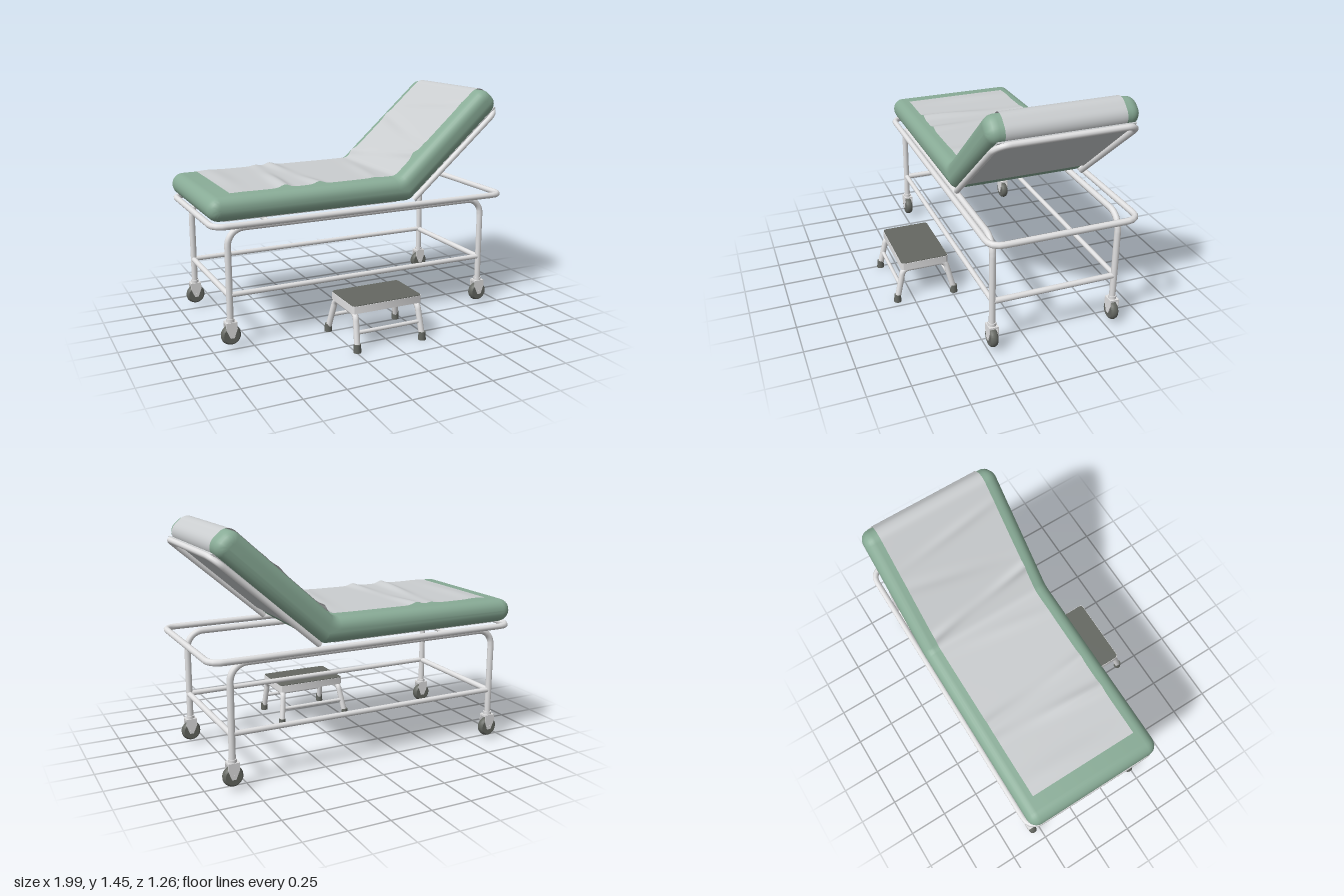
import * as THREE from 'three';
import { toCreasedNormals } from 'three/addons/utils/BufferGeometryUtils.js';

const V = (x, y, z = 0) => new THREE.Vector3(x, y, z);
const ZC = -0.1625; // centre line of the bed

const paint = (name, color, extra = {}) => {
  const m = new THREE.MeshStandardMaterial({ color, ...extra });
  m.name = name;
  return m;
};

// Replace each corner of a polyline with a true arc
function roundCorners(pts, r, closed = false) {
  const out = [], n = pts.length;
  pts.forEach((p, i) => {
    if (!closed && (i === 0 || i === n - 1)) return out.push(p);
    const u = pts[(i + n - 1) % n].clone().sub(p).normalize();
    const v = pts[(i + 1) % n].clone().sub(p).normalize();
    const half = u.angleTo(v) / 2;
    const c = p.clone().addScaledVector(u.clone().add(v).normalize(), r / Math.sin(half));
    const a = p.clone().addScaledVector(u, r / Math.tan(half)).sub(c);
    const b = p.clone().addScaledVector(v, r / Math.tan(half)).sub(c);
    const sweep = a.angleTo(b), steps = 8;
    for (let k = 0; k <= steps; k++) {
      const t = k / steps;
      out.push(c.clone()
        .addScaledVector(a, Math.sin((1 - t) * sweep) / Math.sin(sweep))
        .addScaledVector(b, Math.sin(t * sweep) / Math.sin(sweep)));
    }
  });
  return out;
}

function polyCurve(pts, closed = false) {
  const path = new THREE.CurvePath();
  for (let i = 0; i < pts.length - (closed ? 0 : 1); i++) {
    path.add(new THREE.LineCurve3(pts[i], pts[(i + 1) % pts.length]));
  }
  return path;
}

export function createModel() {
  const model = new THREE.Group();
  const green = paint('green vinyl', 0x89ac97);
  const cloth = paint('grey sheet', 0xcbced0, { side: THREE.DoubleSide });
  const metal = paint('painted steel', 0xe2e2e3);
  const dark = paint('dark rubber', 0x656862);

  const add = (name, geo, mat, parent = model) => {
    const m = new THREE.Mesh(geo, mat);
    m.name = name;
    parent.add(m);
    return m;
  };
  const tube = (name, pts, bend, r, closed = false, parent = model) =>
    add(name, new THREE.TubeGeometry(polyCurve(roundCorners(pts, bend, closed), closed), 180, r, 10, closed), metal, parent);
  const rod = (name, a, b, r, parent = model) => {
    const m = add(name, new THREE.CylinderGeometry(r, r, a.distanceTo(b), 12), metal, parent);
    m.position.copy(a).add(b).multiplyScalar(0.5);
    m.quaternion.setFromUnitVectors(V(0, 1, 0), b.clone().sub(a).normalize());
  };

  // Backrest directions: along the slope, and out of its underside
  const along = V(0.75, 0.661), under = V(0.661, -0.75), hinge = V(0.3, 0.775);
  const onBack = (s, off, z = 0) =>
    hinge.clone().addScaledVector(along, s).addScaledVector(under, off).add(V(0, 0, z));

  // Mattress: side profile extruded across with rounded edges
  const bevel = 0.064, width = 0.885;
  const profile = [V(-1, 0.775), hinge, onBack(0.87, 0), onBack(0.85, -0.168), V(0.224, 0.923), V(-1, 0.916)];
  const shape = new THREE.Shape(roundCorners(profile, 0.07, true).map(p => new THREE.Vector2(p.x, p.y)));
  const mattress = new THREE.ExtrudeGeometry(shape, {
    depth: width - 2 * bevel, bevelThickness: bevel, bevelSize: bevel, bevelOffset: -bevel, bevelSegments: 6,
  });
  mattress.translate(0, 0, ZC - width / 2 + bevel);
  add('mattress', toCreasedNormals(mattress, 0.7), green);

  // Sheet: a creased ribbon over the top and around the head end
  const sheetPath = polyCurve(roundCorners(
    [V(-0.85, 0.925), V(0.222, 0.931), onBack(0.855, -0.175), onBack(0.875, 0.005), onBack(0.8, 0.005)], 0.07));
  const nu = 150, nv = 24;
  const sheet = new THREE.PlaneGeometry(1, 1, nu, nv);
  const pos = sheet.attributes.position;
  // Each crease: distance along the sheet, height, width, slant
  const creases = [[0.08, 0.008, 0.06, 0], [0.37, 0.02, 0.035, 0.06], [0.53, 0.018, 0.035, -0.06], [0.98, 0.007, 0.04, 0.1],
    [1.2, 0.016, 0.03, -0.12], [1.42, 0.01, 0.035, 0.16], [1.66, 0.007, 0.03, -0.1]];
  const total = sheetPath.getLength();
  for (let i = 0; i <= nu; i++) {
    const u = i / nu, p = sheetPath.getPointAt(u), t = sheetPath.getTangentAt(u);
    for (let j = 0; j <= nv; j++) {
      const v = j / nv - 0.5;
      let h = 0;
      for (const [at, amp, w, skew] of creases) {
        const d = (u * total - at - skew * v) / w;
        h += amp * Math.exp(-d * d) * (0.6 + 0.4 * Math.sin(5 * v + at * 9));
      }
      pos.setXYZ(j * (nu + 1) + i, p.x - t.y * h, p.y + t.x * h, 0.19 - 0.7 * j / nv);
    }
  }
  sheet.computeVertexNormals();
  add('sheet', sheet, cloth);

  // Cloth panels beneath the flat part and behind the backrest
  add('seatUnderside', new THREE.BoxGeometry(1.12, 0.008, 0.76), cloth).position.set(-0.34, 0.773, ZC);
  const backPanel = add('backrestUnderside', new THREE.BoxGeometry(0.73, 0.009, 0.8), cloth);
  backPanel.position.copy(onBack(0.47, 0.003, ZC));
  backPanel.rotation.z = Math.atan2(along.y, along.x);

  // Backrest hoop
  const za = 0.247, zb = -0.577;
  tube('backrestHoop', [onBack(0.02, 0.015, za), onBack(0.832, 0.022, za), onBack(0.832, 0.022, zb), onBack(0.02, 0.015, zb)], 0.075, 0.018);

  // Top frame
  tube('topFrame', [V(-0.98, 0.757, 0.285), V(0.975, 0.757, 0.285), V(0.975, 0.757, -0.61), V(-0.98, 0.757, -0.61)], 0.075, 0.019, true);

  // Leg arches, lower rails and cross bars
  const xl = -0.884, xr = 0.849, zf = 0.224, zr = -0.551;
  for (const z of [zf, zr]) {
    tube('legArch', [V(xl, 0.17, z), V(xl, 0.727, z), V(xr, 0.727, z), V(xr, 0.17, z)], 0.1, 0.0195);
    rod('lowerRail', V(xl, 0.33, z), V(xr, 0.33, z), 0.016);
  }
  for (const x of [xl, xr]) rod('lowerCrossBar', V(x, 0.326, zf), V(x, 0.326, zr), 0.018);
  rod('upperCrossBar', V(-0.6, 0.718, zf), V(-0.6, 0.718, zr), 0.013);

  // Casters
  const tyreProfile = [[0.012, -0.023], [0.048, -0.023], [0.057, -0.015], [0.061, 0], [0.057, 0.015], [0.048, 0.023], [0.012, 0.023]]
    .map(([r, y]) => new THREE.Vector2(r, y));
  const forkShape = new THREE.Shape([[-0.034, 0.165], [-0.034, 0.125], [-0.01, 0.07], [0.014, 0.07], [0.034, 0.125], [0.034, 0.165]]
    .map(([x, y]) => new THREE.Vector2(x, y)));
  for (const x of [xl, xr]) for (const z of [zf, zr]) {
    const caster = new THREE.Group();
    caster.name = 'caster';
    caster.position.set(x, 0, z);
    model.add(caster);
    const tyre = add('wheel', toCreasedNormals(new THREE.LatheGeometry(tyreProfile, 24), 0.6), dark, caster);
    tyre.rotation.x = Math.PI / 2;
    tyre.position.y = 0.084;
    rod('axle', V(0, 0.084, -0.03), V(0, 0.084, 0.03), 0.013, caster);
    for (const s of [-1, 1]) {
      const fork = add('fork', new THREE.ExtrudeGeometry(forkShape, { depth: 0.005, bevelEnabled: false }), metal, caster);
      fork.position.z = s * 0.0265 - 0.0025;
    }
    add('forkCrown', new THREE.BoxGeometry(0.068, 0.012, 0.058), metal, caster).position.y = 0.161;
    rod('stem', V(0, 0.16, 0), V(0, 0.185, 0), 0.025, caster);
  }

  // Step stool
  const stool = new THREE.Group();
  stool.name = 'stepStool';
  stool.position.set(-0.025, 0, 0.42);
  model.add(stool);
  const rect = (w, d, r) => roundCorners([V(-w, -d), V(w, -d), V(w, d), V(-w, d)], r, true)
    .map(p => new THREE.Vector2(p.x, p.y));
  const rim = new THREE.Shape(rect(0.231, 0.153, 0.02));
  rim.holes.push(new THREE.Path(rect(0.215, 0.137, 0.012).reverse()));
  const rimGeo = new THREE.ExtrudeGeometry(rim, { depth: 0.045, bevelEnabled: false });
  rimGeo.rotateX(-Math.PI / 2).translate(0, 0.224, 0);
  add('platformRim', toCreasedNormals(rimGeo, 0.6), metal, stool);
  const treadGeo = new THREE.ExtrudeGeometry(new THREE.Shape(rect(0.228, 0.15, 0.02)), { depth: 0.008, bevelEnabled: false });
  treadGeo.rotateX(-Math.PI / 2).translate(0, 0.265, 0);
  add('tread', treadGeo, dark, stool);
  const footX = { 1: 0.218, '-1': 0.237 }; // front feet stand closer together
  for (const s of [-1, 1]) {
    tube('stoolLegs', [V(s * footX[1], 0.02, 0.184), V(s * 0.207, 0.22, 0.138), V(s * 0.207, 0.22, -0.138), V(s * footX[-1], 0.02, -0.184)],
      0.045, 0.0185, false, stool);
    rod('stoolCrossBar', V(-0.212, 0.112, s * 0.163), V(0.212, 0.112, s * 0.163), 0.012, stool);
    for (const t of [-1, 1]) {
      const foot = add('stoolFoot', new THREE.CylinderGeometry(0.021, 0.024, 0.05, 12), dark, stool);
      foot.position.set(s * footX[t], 0.025, t * 0.184);
    }
  }
  return model;
}
